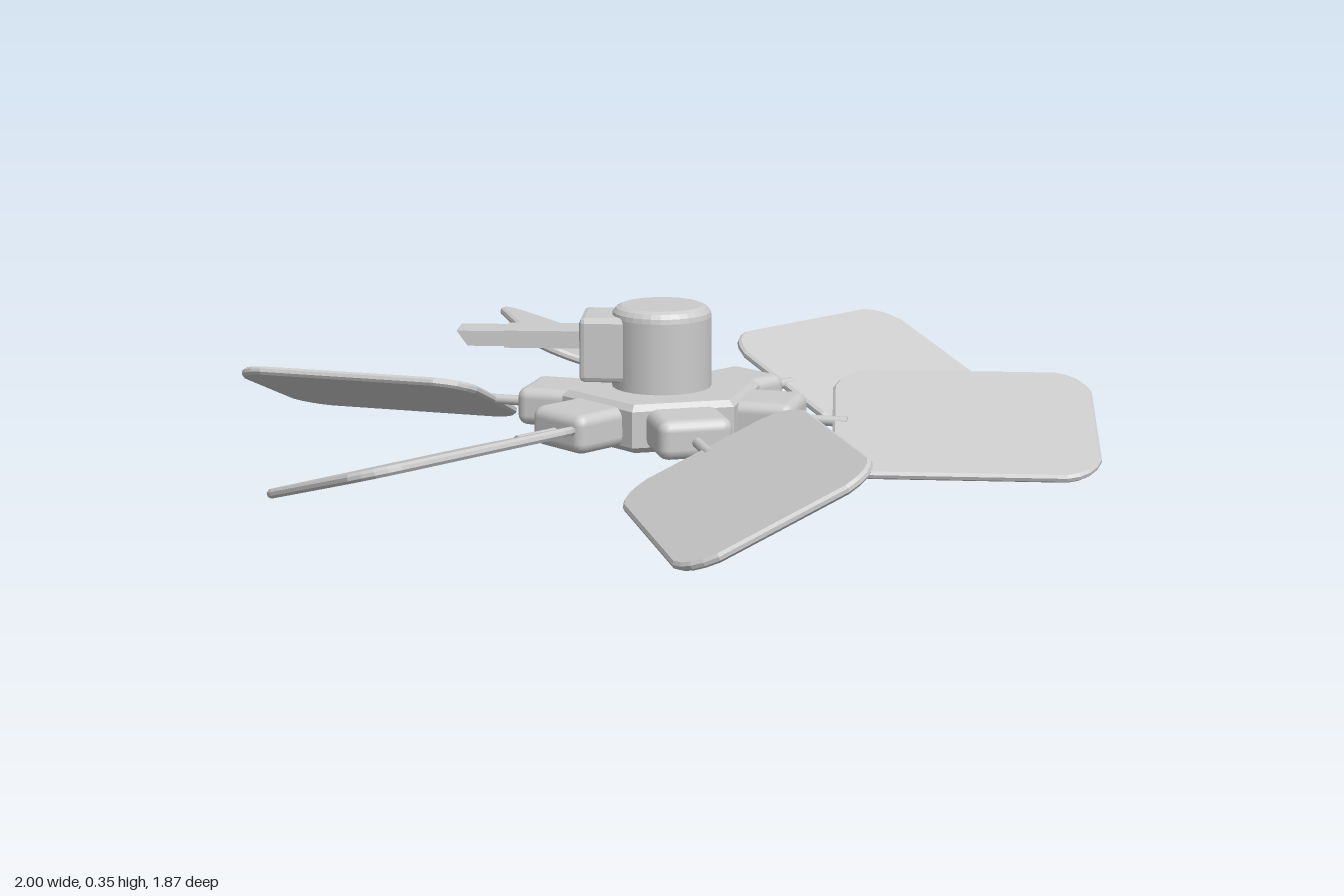
import * as THREE from 'three';
import { RoundedBoxGeometry } from 'three/addons/geometries/RoundedBoxGeometry.js';

const flat = new THREE.MeshStandardMaterial({ color: 0xcccccc, flatShading: true });
const smooth = new THREE.MeshStandardMaterial({ color: 0xcccccc });
const rad = THREE.MathUtils.degToRad;

function add(parent, name, geometry, material, x = 0, y = 0, z = 0) {
  const mesh = new THREE.Mesh(geometry, material);
  mesh.name = name;
  mesh.position.set(x, y, z);
  parent.add(mesh);
  return mesh;
}

const lathe = (points, sides) =>
  new THREE.LatheGeometry(points.map(([r, y]) => new THREE.Vector2(r, y)), sides);

// Rounded-corner paddle lying flat, inner end at x = 0
function bladeGeometry(length, width, thickness) {
  const bevel = 0.006, h = width / 2 - bevel, a = bevel, b = length - bevel, c = 0.075;
  const s = new THREE.Shape();
  s.moveTo(a + c, -h);
  s.lineTo(b - c, -h);
  s.quadraticCurveTo(b - 0.018, -h + 0.012, b, -h + c);
  s.lineTo(b, h - c);
  s.quadraticCurveTo(b - 0.018, h - 0.012, b - c, h);
  s.lineTo(a + c, h);
  s.quadraticCurveTo(a + 0.018, h - 0.012, a, h - c);
  s.lineTo(a, -h + c);
  s.quadraticCurveTo(a + 0.018, -h + 0.012, a + c, -h);
  const g = new THREE.ExtrudeGeometry(s, {
    depth: thickness - 2 * bevel, bevelEnabled: true, bevelSize: bevel,
    bevelThickness: bevel, bevelSegments: 1, curveSegments: 4,
  });
  g.translate(0, 0, -thickness / 2 + bevel);
  g.rotateX(-Math.PI / 2);
  return g;
}

export function createModel() {
  const model = new THREE.Group();
  model.name = 'ceilingFan';
  const fan = new THREE.Group();
  fan.name = 'fan';
  fan.position.x = -0.005;
  model.add(fan);

  // Six-sided hub with chamfered rims
  add(fan, 'hub', lathe(
    [[0, 0.06], [0.215, 0.06], [0.235, 0.075], [0.235, 0.158], [0.22, 0.172], [0, 0.172]], 6), flat);

  // Motor housing with rounded top edge
  add(fan, 'motorHousing', lathe([[0.115, 0.165], [0.115, 0.335]], 32), smooth);
  add(fan, 'motorCap', lathe(
    [[0.115, 0.335], [0.113, 0.346], [0.105, 0.356], [0.093, 0.361], [0, 0.361]], 32), flat);

  // Arms and pitched blades: direction, pitch and yaw in degrees
  const blade = bladeGeometry(0.595, 0.445, 0.02);
  const socket = new RoundedBoxGeometry(0.19, 0.09, 0.17, 2, 0.025);
  const rod = new THREE.CylinderGeometry(0.012, 0.012, 0.16, 10).rotateZ(Math.PI / 2);
  const arms = [
    [0, 23, 0], [60, 21, 1], [120, 22, 0], [180, 17, 0], [240, 25, 0], [300, 19, 12],
  ];
  for (const [angle, pitch, yaw] of arms) {
    const arm = new THREE.Group();
    arm.name = 'arm';
    arm.rotation.y = rad(angle);
    fan.add(arm);
    add(arm, 'bladeSocket', socket, smooth, 0.235, 0.116, 0);
    add(arm, 'bladeRod', rod, smooth, 0.36, 0.112, 0);
    const paddle = add(arm, 'blade', blade, flat, 0.405, 0.11, 0);
    paddle.rotation.set(rad(pitch), rad(yaw), 0, 'YXZ');
  }

  // Bracket with a two-step tail behind the motor
  const bracket = new THREE.Group();
  bracket.name = 'bracket';
  bracket.rotation.y = rad(133);
  fan.add(bracket);
  add(bracket, 'bracketBlock', new RoundedBoxGeometry(0.12, 0.15, 0.155, 1, 0.012), flat, 0.125, 0.265, 0);
  add(bracket, 'bracketNeck', new THREE.BoxGeometry(0.2, 0.04, 0.1), flat, 0.26, 0.285, 0);
  const tail = new THREE.BoxGeometry(0.12, 0.035, 0.088);
  // Undercut the outer end of the tail
  const p = tail.attributes.position;
  for (let i = 0; i < p.count; i++) {
    if (p.getX(i) > 0 && p.getY(i) < 0) p.setX(i, p.getX(i) - 0.025);
  }
  add(bracket, 'bracketTail', tail, flat, 0.41, 0.285, 0);

  return model;
}
